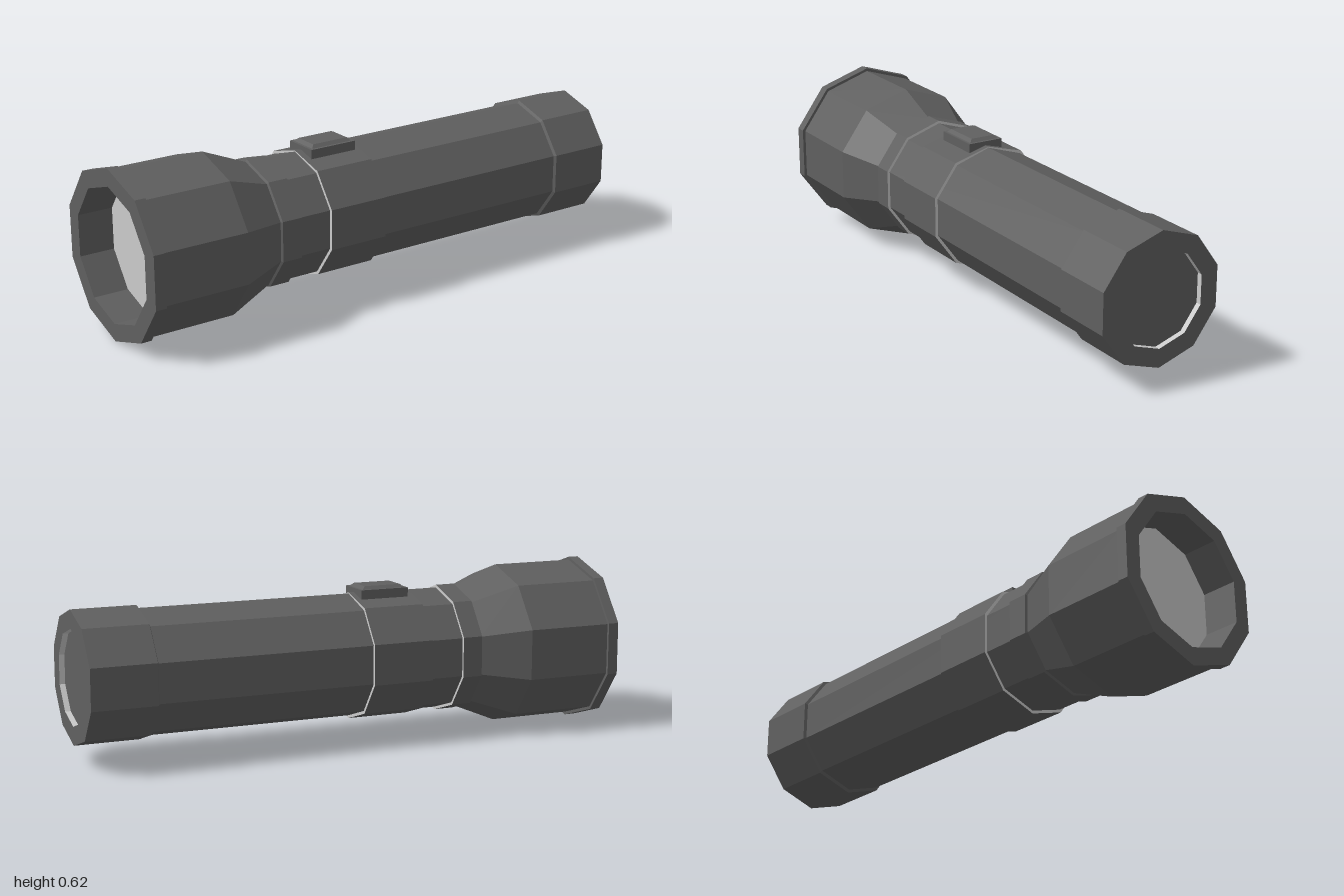
import * as THREE from 'three';

const SIDES = 10, AXIS_Y = 0.31;
const dark = new THREE.MeshStandardMaterial({ color: 0x606060, flatShading: true, side: THREE.DoubleSide });
const light = new THREE.MeshStandardMaterial({ color: 0xcccccc, flatShading: true, side: THREE.DoubleSide });

// Ten-sided turned part along z; profile is [radius, z], from back to front on the outside
function turned(name, profile, material = dark) {
  const geo = new THREE.LatheGeometry(profile.map(([r, z]) => new THREE.Vector2(r, z)), SIDES);
  geo.rotateX(Math.PI / 2).translate(0, AXIS_Y, 0);
  const mesh = new THREE.Mesh(geo, material);
  mesh.name = name;
  return mesh;
}

// Block with a rectangular base and a smaller or equal top
function taperedBlock(name, w, d, y0, y1, z, inset) {
  const geo = new THREE.BoxGeometry(w, y1 - y0, d);
  const pos = geo.attributes.position;
  for (let i = 0; i < pos.count; i++) {
    if (pos.getY(i) > 0) {
      pos.setX(i, pos.getX(i) - Math.sign(pos.getX(i)) * inset);
      pos.setZ(i, pos.getZ(i) - Math.sign(pos.getZ(i)) * inset);
    }
  }
  geo.translate(0, (y0 + y1) / 2, z);
  const mesh = new THREE.Mesh(geo, dark);
  mesh.name = name;
  return mesh;
}

// Lower the top ridge so the switch has a level seat
function levelTop(mesh, maxY) {
  const pos = mesh.geometry.attributes.position;
  for (let i = 0; i < pos.count; i++) pos.setY(i, Math.min(pos.getY(i), maxY));
  return mesh;
}

export function createModel() {
  const group = new THREE.Group();
  group.name = 'flashlight';

  // Handle, tail cap and its recessed end
  group.add(
    turned('handle', [[0.226, -0.77], [0.226, 0.4]]),
    turned('tailCap', [[0.17, -1], [0.237, -1], [0.237, -0.765], [0.226, -0.76]]),
    turned('tailRecessWall', [[0.17, -0.98], [0.17, -1]], light),
    turned('tailDisc', [[0, -0.98], [0.17, -0.98]])
  );

  // Switch band with pale step faces
  group.add(
    levelTop(turned('switchBand', [[0.237, 0.035], [0.237, 0.265]]), 0.54),
    levelTop(turned('switchBandBackStep', [[0.224, 0.035], [0.237, 0.035]], light), 0.54),
    levelTop(turned('switchBandFrontStep', [[0.237, 0.265], [0.224, 0.265]], light), 0.54)
  );

  // Switch: plate and bevelled button
  group.add(
    taperedBlock('switchPlate', 0.136, 0.185, 0.515, 0.555, 0.148, 0),
    taperedBlock('switchButton', 0.116, 0.165, 0.555, 0.566, 0.148, 0.012)
  );

  // Neck ring
  group.add(
    turned('neckRing', [[0.236, 0.39], [0.236, 0.465], [0.226, 0.47]]),
    turned('neckRingStep', [[0.224, 0.39], [0.236, 0.39]], light)
  );

  // Flared head, bezel with deep opening, and lens
  group.add(
    turned('head', [[0.226, 0.465], [0.298, 0.64], [0.298, 0.96]]),
    turned('bezel', [[0.298, 0.96], [0.309, 0.96], [0.309, 1], [0.245, 1], [0.245, 0.87]]),
    turned('lens', [[0.245, 0.87], [0, 0.87]], light)
  );

  return group;
}
